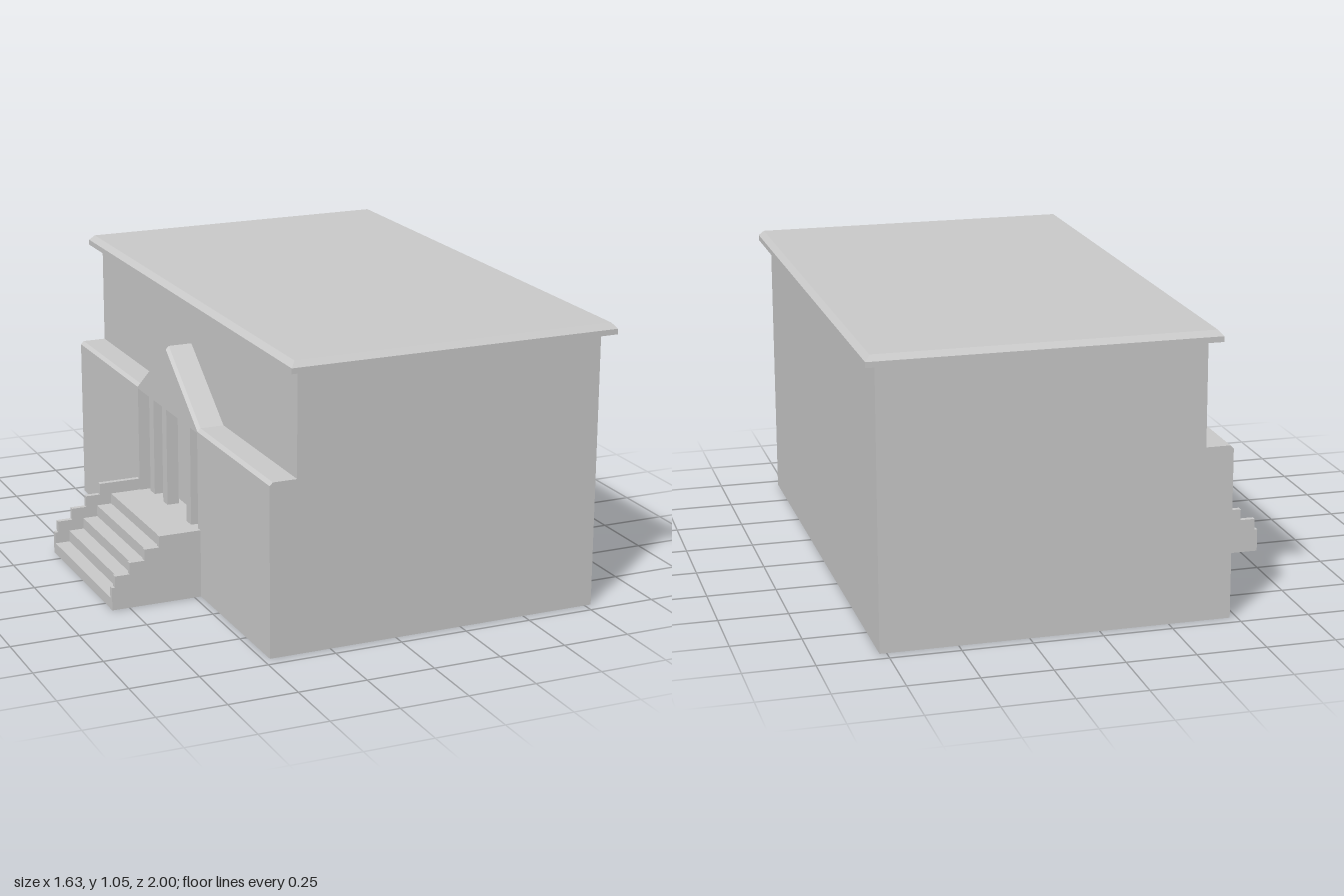
import * as THREE from 'three';

const material = new THREE.MeshStandardMaterial({ color: 0xcccccc, flatShading: true });

function add(parent, name, geometry, x = 0, y = 0, z = 0) {
  const mesh = new THREE.Mesh(geometry, material);
  mesh.name = name;
  mesh.position.set(x, y, z);
  parent.add(mesh);
  return mesh;
}

// Box between two corners
function block(parent, name, [x0, x1], [y0, y1], [z0, z1]) {
  return add(parent, name, new THREE.BoxGeometry(x1 - x0, y1 - y0, z1 - z0),
    (x0 + x1) / 2, (y0 + y1) / 2, (z0 + z1) / 2);
}

const shapeOf = (points) => new THREE.Shape(points.map(([x, y]) => new THREE.Vector2(x, y)));

// Stepped side profile: each entry is [start x, height], rising towards xEnd
function stepProfile(steps, xEnd) {
  const points = [[steps[0][0], 0]];
  steps.forEach(([x, y], i) => {
    points.push([x, y], [i + 1 < steps.length ? steps[i + 1][0] : xEnd, y]);
  });
  points.push([xEnd, 0]);
  return shapeOf(points.reverse());
}

function extrudeAcross(parent, name, shape, z0, z1) {
  return add(parent, name, new THREE.ExtrudeGeometry(shape, { depth: z1 - z0, bevelEnabled: false }), 0, 0, z0);
}

// Facade wing with a gable, a portico opening and a chamfered upper front edge
function wingGeometry() {
  const shape = shapeOf([
    [-0.955, 0], [0.955, 0], [0.955, 0.63], [0.305, 0.63],
    [0, 0.855], [-0.305, 0.63], [-0.955, 0.63],
  ]);
  const opening = [[-0.302, 0.21], [-0.302, 0.613], [0.302, 0.613], [0.302, 0.21]];
  shape.holes.push(new THREE.Path(opening.map(([x, y]) => new THREE.Vector2(x, y))));
  const geometry = new THREE.ExtrudeGeometry(shape, { depth: 0.1, steps: 2, bevelEnabled: false });
  const p = geometry.attributes.position;
  for (let i = 0; i < p.count; i++) {
    if (Math.abs(p.getZ(i) - 0.05) < 0.001) p.setZ(i, 0.088);
    else if (p.getZ(i) > 0.09 && p.getY(i) > 0.625) p.setY(i, p.getY(i) - 0.012);
  }
  geometry.computeVertexNormals();
  return geometry.rotateY(-Math.PI / 2);
}

// Slab whose top face is drawn in on all sides
function chamferSlab(width, height, depth, inset) {
  const geometry = new THREE.BoxGeometry(width, height, depth);
  const p = geometry.attributes.position;
  for (let i = 0; i < p.count; i++) {
    if (p.getY(i) > 0) {
      p.setX(i, p.getX(i) - Math.sign(p.getX(i)) * inset);
      p.setZ(i, p.getZ(i) - Math.sign(p.getZ(i)) * inset);
    }
  }
  geometry.computeVertexNormals();
  return geometry;
}

export function createModel() {
  const model = new THREE.Group();
  model.name = 'building';

  // Main hall and its roof cornice
  block(model, 'mainHall', [-0.375, 0.775], [0, 1.01], [-0.955, 0.955]);
  block(model, 'corniceBase', [-0.415, 0.815], [1.01, 1.03], [-1, 1]);
  add(model, 'corniceTop', chamferSlab(1.23, 0.02, 2, 0.018), 0.2, 1.04, 0);

  // Entrance wing with gable
  add(model, 'entranceWing', wingGeometry(), -0.375, 0, 0);

  // Portico columns
  const columns = new THREE.Group();
  columns.name = 'columns';
  model.add(columns);
  for (const z of [-0.255, -0.12, 0.12, 0.255]) {
    block(columns, 'column', [-0.44, -0.395], [0.21, 0.613], [z - 0.0225, z + 0.0225]);
  }

  // Staircase between two stepped side walls
  const stairs = stepProfile(
    [[-0.815, 0.042], [-0.76, 0.085], [-0.703, 0.127], [-0.647, 0.17], [-0.59, 0.21]], -0.475);
  extrudeAcross(model, 'stairs', stairs, -0.305, 0.305);
  const sideWall = stepProfile(
    [[-0.815, 0.085], [-0.803, 0.127], [-0.747, 0.17], [-0.69, 0.212], [-0.634, 0.254]], -0.475);
  extrudeAcross(model, 'stairWallRight', sideWall, -0.325, -0.305);
  extrudeAcross(model, 'stairWallLeft', sideWall, 0.305, 0.325);

  return model;
}
